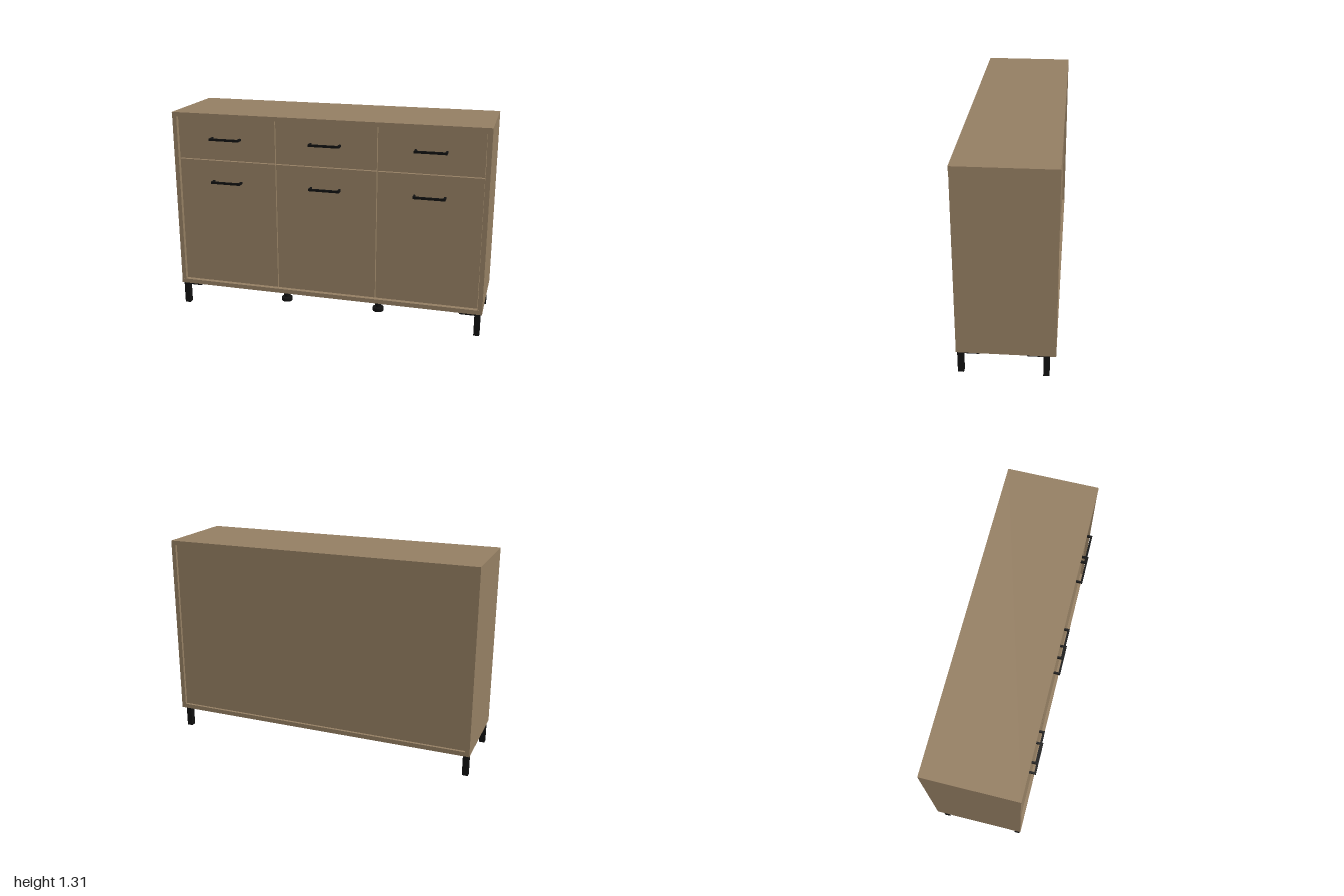
import * as THREE from 'three';

const wood = new THREE.MeshStandardMaterial({ name: 'wood', color: 0x957f63 });
const black = new THREE.MeshStandardMaterial({ name: 'blackMetal', color: 0x111111 });

// Box given by its minimum and maximum on each axis
function box(parent, name, material, [x0, x1], [y0, y1], [z0, z1]) {
  const mesh = new THREE.Mesh(new THREE.BoxGeometry(x1 - x0, y1 - y0, z1 - z0), material);
  mesh.name = name;
  mesh.position.set((x0 + x1) / 2, (y0 + y1) / 2, (z0 + z1) / 2);
  parent.add(mesh);
  return mesh;
}

const BOTTOM = 0.146, TOP = 1.306, THICK = 0.028;
const BACK = -0.302, FRONT = 0.274, FACE = 0.254;

// Bow handle: a bar on two posts
function handle(x, y) {
  const group = new THREE.Group();
  group.name = 'handle';
  const ys = [y - 0.007, y + 0.007];
  box(group, 'handleBar', black, [x - 0.098, x + 0.098], ys, [0.29, 0.302]);
  for (const s of [-1, 1]) {
    const px = x + s * 0.092;
    box(group, 'handlePost', black, [px - 0.006, px + 0.006], ys, [FACE, 0.29]);
  }
  return group;
}

// Square corner leg with a triangular mounting plate
function cornerLeg(sx, sz) {
  const group = new THREE.Group();
  group.name = 'cornerLeg';
  const cx = sx * 0.99, cz = sz * 0.266;
  const leg = new THREE.Mesh(new THREE.BoxGeometry(0.036, BOTTOM, 0.036), black);
  leg.name = 'legPost';
  leg.position.set(cx - sx * 0.018, BOTTOM / 2, cz - sz * 0.018);
  const shape = new THREE.Shape();
  shape.moveTo(cx, -cz);
  shape.lineTo(cx - sx * 0.13, -cz);
  shape.lineTo(cx, -cz + sz * 0.13);
  shape.closePath();
  const plate = new THREE.Mesh(
    new THREE.ExtrudeGeometry(shape, { depth: 0.012, bevelEnabled: false }), black);
  plate.name = 'legPlate';
  plate.rotation.x = -Math.PI / 2;
  plate.position.y = BOTTOM - 0.012;
  group.add(leg, plate);
  return group;
}

// Round adjustable support foot, as stacked cylinders [radius, y0, y1]
function supportFoot(x, z) {
  const group = new THREE.Group();
  group.name = 'supportFoot';
  for (const [name, r, y0, y1] of [
    ['footFlange', 0.036, 0.118, BOTTOM],
    ['footStem', 0.021, 0.036, 0.118],
    ['footScrew', 0.015, 0.024, 0.036],
    ['footBase', 0.036, 0, 0.024],
  ]) {
    const mesh = new THREE.Mesh(new THREE.CylinderGeometry(r, r, y1 - y0, 24), black);
    mesh.name = name;
    mesh.position.set(x, (y0 + y1) / 2, z);
    group.add(mesh);
  }
  return group;
}

export function createModel() {
  const model = new THREE.Group();
  model.name = 'sideboard';

  // Carcass
  const innerY = [BOTTOM + THICK, TOP - THICK];
  box(model, 'topPanel', wood, [-1, 1], [innerY[1], TOP], [BACK, FRONT]);
  box(model, 'bottomPanel', wood, [-1, 1], [BOTTOM, innerY[0]], [BACK, FRONT]);
  for (const s of [-1, 1]) {
    const side = box(model, 'sidePanel', wood, [-THICK / 2, THICK / 2], innerY, [BACK, 0.272]);
    side.position.x = s * (1 - THICK / 2);
  }
  box(model, 'backPanel', wood, [-0.972, 0.972], innerY, [-0.285, -0.277]);
  for (const x of [-0.32, 0.327]) {
    box(model, 'divider', wood, [x - 0.014, x + 0.014], innerY, [-0.277, 0.226]);
  }
  box(model, 'drawerShelf', wood, [-0.972, 0.972], [0.991, 1.019], [-0.277, 0.225]);

  // Drawer and door fronts with their handles
  for (const [x0, x1, handleX] of [
    [-0.968, -0.323, -0.645], [-0.317, 0.324, 0.002], [0.33, 0.968, 0.651],
  ]) {
    box(model, 'drawerFront', wood, [x0, x1], [1.008, 1.274], [0.228, FACE]);
    box(model, 'door', wood, [x0, x1], [0.178, 1.002], [0.228, FACE]);
    model.add(handle(handleX, 1.147), handle(handleX, 0.868));
  }

  // Legs
  for (const sx of [-1, 1]) for (const sz of [-1, 1]) model.add(cornerLeg(sx, sz));
  for (const x of [-0.331, 0.306]) model.add(supportFoot(x, 0.054));

  return model;
}
